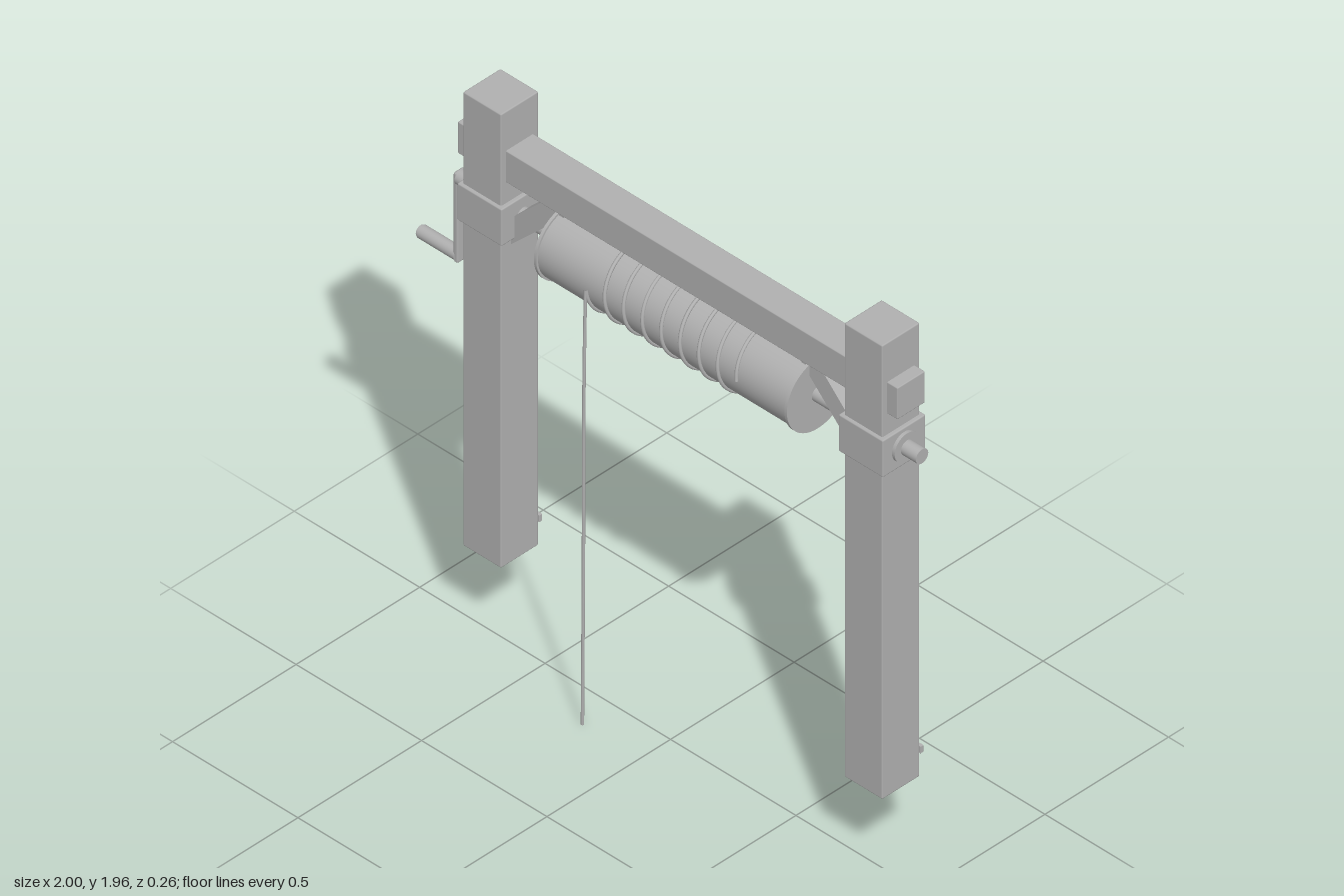
import * as THREE from 'three';
import { RoundedBoxGeometry } from 'three/addons/geometries/RoundedBoxGeometry.js';

const MID = 0.08;      // x of the frame's middle
const Z = -0.003;      // z of the axle
const AXLE_Y = 1.566;
const POST = 0.76;     // post distance from the middle

export function createModel() {
  const grey = new THREE.MeshStandardMaterial({ color: 0xb0b0b0 });
  grey.name = 'plain grey';
  const model = new THREE.Group();
  model.name = 'windlass';

  const add = (name, geometry, x, y, z, parent = model) => {
    const mesh = new THREE.Mesh(geometry, grey);
    mesh.name = name;
    mesh.position.set(x, y, z);
    parent.add(mesh);
    return mesh;
  };
  const box = (name, w, h, d, x, y, z, bevel = 0.004, parent = model) =>
    add(name, new RoundedBoxGeometry(w, h, d, 1, bevel), x, y, z, parent);
  // Cylinder along x between two ends
  const rod = (name, r, x0, x1, y, z = Z, parent = model, sides = 32) =>
    add(name, new THREE.CylinderGeometry(r, r, x1 - x0, sides).rotateZ(Math.PI / 2), (x0 + x1) / 2, y, z, parent);
  // Domed bolt head on a rear face
  const bolt = (x, y, z, r, parent) => {
    const dome = new THREE.SphereGeometry(r, 12, 6, 0, Math.PI * 2, 0, Math.PI / 2).rotateX(-Math.PI / 2);
    add('bolt', dome, x, y, z, parent);
  };

  // Both posts with collar, boss, brace and rear fixings
  for (const side of [-1, 1]) {
    const x = MID + side * POST;
    const frame = new THREE.Group();
    frame.name = side < 0 ? 'rightPostFrame' : 'leftPostFrame';
    model.add(frame);

    box('post', 0.152, 1.635, 0.152, x, 1.1425, Z, 0.005, frame);
    box('collar', 0.178, 0.133, 0.174, x, AXLE_Y - 0.002, Z, 0.005, frame);
    const outer = x + side * 0.1;
    rod('axleBoss', 0.05, Math.min(x, outer), Math.max(x, outer), AXLE_Y, Z, frame);

    // Diagonal brace cut flush with the beam and running into the post
    const s = new THREE.Shape();
    const mx = (d) => MID + side * d;
    const corners = [[0.54, 1.71], [0.445, 1.71], [0.685, 1.47], [0.685, 1.565]];
    corners.forEach(([d, y], i) => (i ? s.lineTo(mx(d), y) : s.moveTo(mx(d), y)));
    s.closePath();
    add('brace', new THREE.ExtrudeGeometry(s, { depth: 0.07, bevelEnabled: false }), 0, 0, Z - 0.035, frame);

    // Bolts at the rear, and the low strap
    bolt(x, 1.745, Z - 0.076, 0.013, frame);
    for (const dx of [-0.05, 0.05]) bolt(x + dx, AXLE_Y, Z - 0.087, 0.008, frame);
    box('strap', 0.162, 0.026, 0.012, x, 0.423, Z - 0.08, 0.002, frame);
    bolt(x, 0.423, Z - 0.085, 0.011, frame);
  }

  // Cross beam through the posts
  box('beam', 1.754, 0.114, 0.112, MID, 1.762, Z, 0.004);

  // Axle and drum with thin end rims
  rod('axle', 0.025, -0.84, 1.0, AXLE_Y);
  rod('drum', 0.119, -0.418, 0.579, AXLE_Y, Z, model, 64);
  rod('drumRim', 0.126, -0.424, -0.414, AXLE_Y, Z, model, 64);
  rod('drumRim', 0.126, 0.575, 0.585, AXLE_Y, Z, model, 64);

  // Crank
  const crank = new THREE.Group();
  crank.name = 'crank';
  model.add(crank);
  box('crankArm', 0.019, 0.322, 0.04, -0.842, 1.426, Z, 0.007, crank);
  rod('crankHandle', 0.022, -0.994, -0.846, 1.284, Z, crank);
  rod('handleCap', 0.019, -1.0, -0.99, 1.284, Z, crank);

  // Rope wound eight turns around the drum
  const turns = 8, R = 0.122, points = [];
  for (let i = 0; i <= turns * 24; i++) {
    const t = i / 24, a = t * Math.PI * 2;
    points.push(new THREE.Vector3(-0.22 + 0.075 * t, AXLE_Y - R * Math.sin(a), Z + R * Math.cos(a)));
  }
  add('woundRope', new THREE.TubeGeometry(new THREE.CatmullRomCurve3(points), 480, 0.006, 8), 0, 0, 0);

  // Free end hanging to the ground
  const drop = new THREE.CatmullRomCurve3([
    [-0.22, AXLE_Y, 0.121], [-0.221, 1.2, 0.126], [-0.224, 0.6, 0.125], [-0.227, 0, 0.126],
  ].map((p) => new THREE.Vector3(...p)));
  add('hangingRope', new THREE.TubeGeometry(drop, 24, 0.005, 8), 0, 0, 0);

  return model;
}
